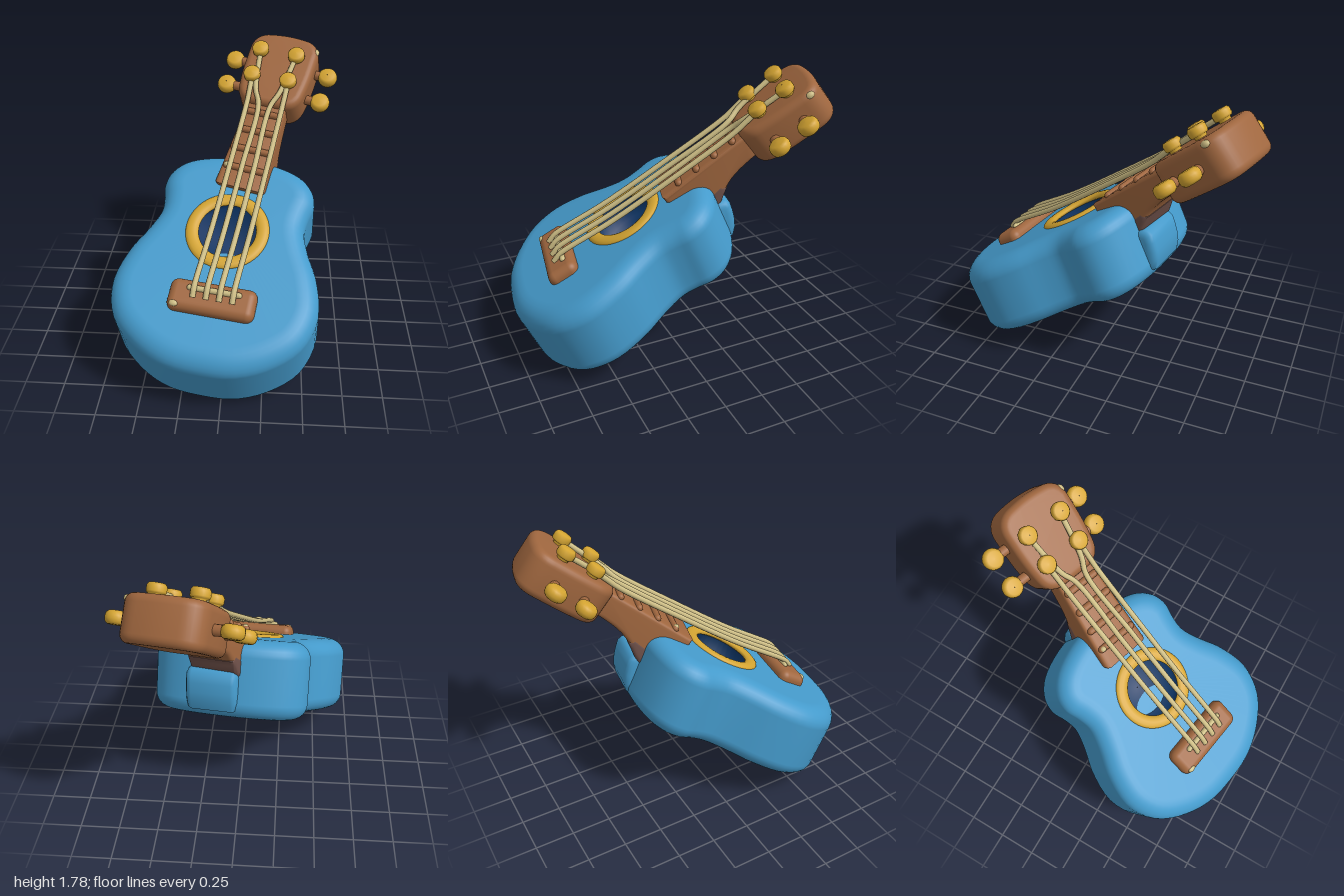
import * as THREE from 'three';
import { toCreasedNormals } from 'three/addons/utils/BufferGeometryUtils.js';
import { RoundedBoxGeometry } from 'three/addons/geometries/RoundedBoxGeometry.js';

const V2 = (x, y) => new THREE.Vector2(x, y);
const V3 = (x, y, z) => new THREE.Vector3(x, y, z);

function mat(name, color, side = THREE.FrontSide) {
  const m = new THREE.MeshStandardMaterial({ color, side });
  m.name = name;
  return m;
}

function add(parent, name, geometry, material, x = 0, y = 0, z = 0) {
  const m = new THREE.Mesh(geometry, material);
  m.name = name;
  m.position.set(x, y, z);
  parent.add(m);
  return m;
}

// group whose x runs across, y along the instrument and z out of its face
function tiltedGroup(name, yaw, pitch, spin, origin) {
  const rad = THREE.MathUtils.degToRad;
  const g = new THREE.Group();
  g.name = name;
  g.rotation.set(-rad(90 - pitch), -rad(yaw), -rad(spin), 'YXZ');
  g.position.copy(origin);
  g.updateMatrix();
  return g;
}

// polygon with rounded corners
function roundedShape(pts, r) {
  const s = new THREE.Shape();
  pts.forEach((p, i) => {
    const prev = pts[(i + pts.length - 1) % pts.length], next = pts[(i + 1) % pts.length];
    const a = prev.clone().sub(p).setLength(r).add(p), b = next.clone().sub(p).setLength(r).add(p);
    if (i === 0) s.moveTo(a.x, a.y); else s.lineTo(a.x, a.y);
    s.quadraticCurveTo(p.x, p.y, b.x, b.y);
  });
  s.closePath();
  return s;
}

// figure-eight body as stacked rings, slightly sheared, open at the sound hole
function bodyGeometry(holeRadius) {
  const half = [[0.22, -0.91], [0.42, -0.82], [0.58, -0.67], [0.645, -0.46], [0.6, -0.23], [0.515, -0.05],
    [0.47, 0.08], [0.478, 0.18], [0.5, 0.28], [0.475, 0.385], [0.385, 0.478], [0.21, 0.54]];
  const pts = [V3(0, -0.93, 0), ...half.map(([x, y]) => V3(x, y, 0)), V3(0, 0.558, 0),
    ...half.slice().reverse().map(([x, y]) => V3(-x, y, 0))];
  const curve = new THREE.CatmullRomCurve3(pts, true);
  const N = 96, rings = [];
  const outline = [...Array(N).keys()].map(i => ({ p: curve.getPoint(i / N), t: curve.getTangent(i / N) }));
  const inset = (d, w) => rings.push(outline.map(({ p, t }) => V3(p.x - t.y * d, p.y + t.x * d + 0.1 * (w + 0.25), w)));
  const top = 0.01, bottom = -0.492, R = 0.1, topInset = 0.125, topDrop = 0.11, steps = 7;
  rings.push(outline.map(() => V3(0, -0.2, bottom)));
  inset(R + 0.02, bottom);
  for (let i = 0; i <= steps; i++) {
    const a = i / steps * Math.PI / 2;
    inset(R * (1 - Math.sin(a)), bottom + R * (1 - Math.cos(a)));
  }
  for (let i = 0; i <= steps; i++) {
    const a = i / steps * Math.PI / 2;
    inset(topInset * (1 - Math.cos(a)), top - topDrop * (1 - Math.sin(a)));
  }
  inset(topInset + 0.015, top);
  rings.push(outline.map(({ p }) => V3(p.x, p.y, 0).setLength(holeRadius).setZ(top)));
  const index = [];
  for (let i = 0; i < rings.length - 1; i++) for (let j = 0; j < N; j++) {
    const a = i * N + j, b = i * N + (j + 1) % N;
    index.push(a, b, b + N, a, b + N, a + N);
  }
  const g = new THREE.BufferGeometry().setFromPoints(rings.flat());
  g.setIndex(index);
  g.computeVertexNormals();
  return g;
}

// side profile (along, out) given thickness across x, narrowing toward the head
function neckGeometry(profile, halfWidth, bevel) {
  const s = new THREE.Shape(profile.map(([v, w]) => V2(v, w)).reverse());
  const g = new THREE.ExtrudeGeometry(s, { depth: 2 * (halfWidth - bevel), bevelThickness: bevel, bevelSize: bevel,
    bevelOffset: -bevel, bevelSegments: 4 });
  g.translate(0, 0, bevel - halfWidth);
  g.applyMatrix4(new THREE.Matrix4().makeBasis(V3(0, 1, 0), V3(0, 0, 1), V3(1, 0, 0)));
  const p = g.attributes.position;
  for (let i = 0; i < p.count; i++) {
    const k = THREE.MathUtils.clamp((p.getY(i) + 0.86) / 0.6, 0, 1);
    p.setX(i, p.getX(i) * (1 - 0.2 * k));
  }
  return toCreasedNormals(g, 0.8);
}

export function createModel() {
  const blue = mat('body blue', 0x459bcc);
  const brown = mat('wood brown', 0xa0673f);
  const gold = mat('gold', 0xd5a532);
  const cream = mat('string cream', 0xcdbd84);
  const navy = mat('hole navy', 0x0c3464, THREE.DoubleSide);
  const shade = mat('heel brown', 0x6e5049);

  const model = new THREE.Group();
  model.name = 'ukulele';
  const body = tiltedGroup('bodyGroup', 5, 30, 5, V3(0.005, 0.86, 0.24));
  const neck = tiltedGroup('neckGroup', 10, 38, 7.2, V3(0.3, 1.515, -0.7));
  model.add(body, neck);

  // body, heel and sound hole
  add(body, 'body', bodyGeometry(0.2), blue);
  const heel = [[0.3, -0.16], [0.56, -0.175], [0.602, -0.195], [0.618, -0.23], [0.61, -0.28], [0.595, -0.34],
    [0.57, -0.4], [0.53, -0.45], [0.3, -0.46]];
  add(body, 'heel', neckGeometry(heel, 0.205, 0.05), blue, 0.06);
  const well = new THREE.LatheGeometry([V2(0.2, 0.01), V2(0.28, -0.22), V2(0.001, -0.22)], 40);
  add(body, 'soundHoleWell', well.rotateX(Math.PI / 2), navy);
  add(body, 'soundHoleFloor', new THREE.CircleGeometry(0.13, 28).scale(1, 0.55, 1), blue, 0.01, -0.13, -0.215);
  add(body, 'soundHoleRing', new THREE.TorusGeometry(0.223, 0.042, 12, 56).scale(1, 1, 0.5), gold, 0, -0.006, 0.008);

  // bridge and saddle
  add(body, 'bridge', new RoundedBoxGeometry(0.53, 0.2, 0.15, 5, 0.05), brown, 0.015, -0.488, 0);
  const rod = (r, l) => new THREE.CapsuleGeometry(r, l, 5, 12).rotateZ(Math.PI / 2);
  add(body, 'saddle', rod(0.018, 0.3), cream, 0.025, -0.45, 0.077);

  // neck with curved underside and frets
  const profile = [[-0.885, 0], [-0.885, 0.095], [-0.24, 0.095], [-0.24, -0.07], [-0.32, -0.075], [-0.4, -0.083],
    [-0.47, -0.098], [-0.53, -0.122], [-0.57, -0.147], [-0.61, -0.175], [-0.66, -0.205], [-0.74, -0.22]];
  add(neck, 'neck', neckGeometry(profile, 0.167, 0.03), brown);
  const heelEnd = [[-0.7, -0.1], [-0.56, -0.08], [-0.535, -0.129], [-0.572, -0.153], [-0.614, -0.181],
    [-0.664, -0.211], [-0.74, -0.226]];
  add(neck, 'neckHeel', neckGeometry(heelEnd, 0.169, 0.025), shade);
  for (let i = 0; i < 4; i++) add(neck, 'fret', rod(0.023, 0.25 - i * 0.012), brown, 0, -0.75 + i * 0.138, 0.096);

  // headstock
  const headShape = roundedShape([V2(-0.17, -0.235), V2(0.165, -0.235), V2(0.19, -0.05), V2(0.195, 0.22),
    V2(0, 0.242), V2(-0.195, 0.22), V2(-0.195, -0.05)], 0.08);
  const headGeometry = new THREE.ExtrudeGeometry(headShape, { depth: 0.165, bevelThickness: 0.05, bevelSize: 0.045,
    bevelSegments: 6, curveSegments: 8 });
  add(neck, 'headstock', toCreasedNormals(headGeometry.translate(0, 0, -0.0825), 0.8), brown);

  // string posts on the face and tuning knobs at the sides
  const lathe = (pts) => new THREE.LatheGeometry(pts.map(([r, h]) => V2(r, h)), 20).rotateX(Math.PI / 2);
  const post = lathe([[0.036, 0], [0.036, 0.03], [0.05, 0.034], [0.056, 0.045], [0.056, 0.075], [0.046, 0.09], [0.001, 0.093]]);
  const knob = lathe([[0.001, -0.04], [0.045, -0.038], [0.06, -0.026], [0.065, -0.008], [0.065, 0.008],
    [0.06, 0.026], [0.045, 0.038], [0.001, 0.04]]);
  const stem = new THREE.CylinderGeometry(0.032, 0.032, 0.12, 12).rotateZ(Math.PI / 2);
  for (const sx of [-1, 1]) for (const sy of [-1, 1]) {
    add(neck, 'stringPost', post, gold, sx * 0.125 - 0.018, sy * 0.1, 0.115);
    add(neck, 'tuningKnob', knob, gold, sx * 0.332 - 0.01, sy * 0.1 - 0.018, 0);
    add(neck, 'knobStem', stem, brown, sx * 0.24, sy * 0.1 - 0.018, 0);
  }

  // small pale inlays on headstock, fretboard and bridge
  const inlay = new THREE.SphereGeometry(1, 14, 10);
  add(neck, 'headInlay', inlay, cream, 0.215, 0.19, 0.1).scale.set(0.022, 0.03, 0.022);
  add(neck, 'fretInlay', inlay, cream, -0.12, -0.75, 0.108).scale.set(0.02, 0.018, 0.018);
  add(body, 'bridgeInlay', inlay, cream, -0.2, -0.558, 0.062).scale.set(0.03, 0.02, 0.016);

  // strings from the bridge over the neck to the posts
  const ends = [[-0.143, -0.1], [-0.143, 0.1], [0.107, 0.1], [0.107, -0.1]];
  ends.forEach(([ex, ey], i) => {
    const x = (i - 1.5) * 0.08;
    const onBody = (px, y, z) => V3(px, y, z).applyMatrix4(body.matrix);
    const onNeck = (px, y, z) => V3(px, y, z).applyMatrix4(neck.matrix);
    const saddle = onBody(x + 0.025, -0.43, 0.105), nut = onNeck(x, -0.3, 0.145);
    const along = (t, sag) => saddle.clone().lerp(nut, t).add(V3(0, -sag, 0));
    const path = new THREE.CatmullRomCurve3([onBody(x + 0.025, -0.51, 0.078), onBody(x + 0.025, -0.465, 0.098), saddle,
      along(0.3, 0.025), along(0.65, 0.02), nut, onNeck((x + ex) / 2, -0.19, 0.155), onNeck(ex, ey, 0.165)], false, 'centripetal');
    add(model, 'string', new THREE.TubeGeometry(path, 60, 0.0175, 8), cream);
  });
  return model;
}
